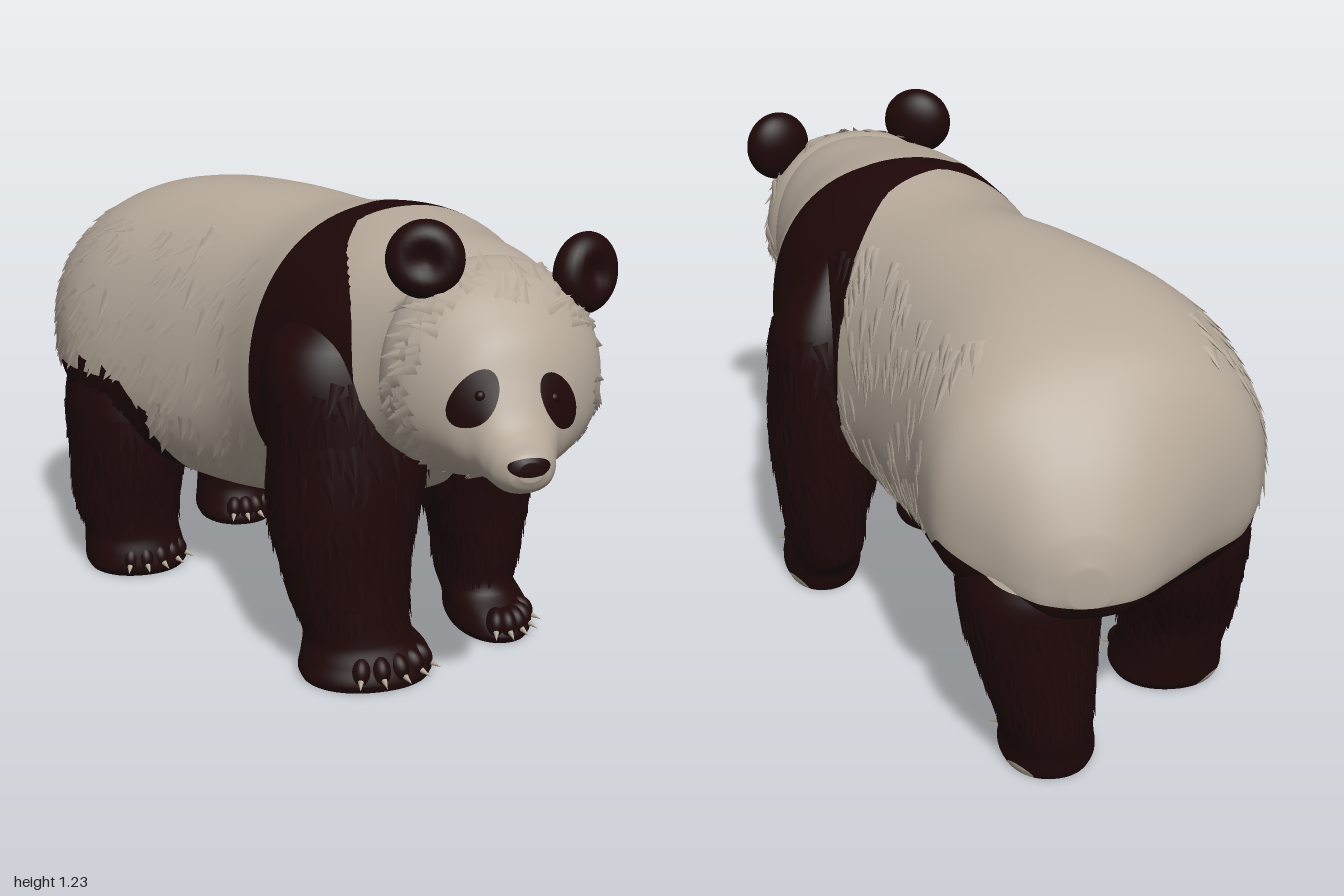
import * as THREE from 'three';
import { mergeGeometries } from 'three/addons/utils/BufferGeometryUtils.js';

const V = (x, y, z) => new THREE.Vector3(x, y, z);
const material = (name, color) => Object.assign(new THREE.MeshStandardMaterial({ color }), { name });

// seeded random numbers
let seed = 7;
const rand = () => (seed = (seed * 16807) % 2147483647) / 2147483647;

// piecewise linear lookup
function lin(x, pts) {
  if (x <= pts[0][0]) return pts[0][1];
  for (let i = 1; i < pts.length; i++) {
    const [a, u] = pts[i - 1], [b, v] = pts[i];
    if (x <= b) return u + (v - u) * (x - a) / (b - a);
  }
  return pts[pts.length - 1][1];
}

// smooth (Hermite) interpolation of whole section rows; column 0 is the axis position
function refine(rows, steps) {
  const slope = (i, k) => {
    const a = rows[Math.max(i - 1, 0)], b = rows[Math.min(i + 1, rows.length - 1)];
    return (b[k] - a[k]) / (b[0] - a[0]);
  };
  const out = [];
  for (let i = 0; i < rows.length - 1; i++) {
    const h = rows[i + 1][0] - rows[i][0];
    for (let s = 0; s < steps; s++) {
      const t = s / steps, t2 = t * t, t3 = t2 * t;
      out.push(rows[i].map((p, k) => (2 * t3 - 3 * t2 + 1) * p + (t3 - 2 * t2 + t) * h * slope(i, k)
        + (3 * t2 - 2 * t3) * rows[i + 1][k] + (t3 - t2) * h * slope(i + 1, k)));
    }
  }
  return [...out, rows[rows.length - 1]];
}

// closed skin through rings; rows are [axis, min1, max1, min2, max2], place() maps to a point,
// power() sets how boxy each quarter of a ring is
function loft(rows, place, n, mid, power = () => 0.93) {
  const pos = [], idx = [], rings = refine(rows, 8);
  for (const [t, a0, a1, b0, b1] of rings) {
    const bm = b0 + (b1 - b0) * mid;
    for (let j = 0; j < n; j++) {
      const c = Math.cos(j / n * Math.PI * 2), s = Math.sin(j / n * Math.PI * 2);
      const round = v => Math.sign(v) * Math.abs(v) ** power(t, c, s);
      pos.push(...place(t, (a0 + a1) / 2 + (a1 - a0) / 2 * round(c), bm + (s > 0 ? b1 - bm : bm - b0) * round(s)));
    }
  }
  const last = rings.length - 1, tip = rings.length * n;
  for (const r of [rings[0], rings[last]]) pos.push(...place(r[0], (r[1] + r[2]) / 2, r[3] + (r[4] - r[3]) * mid));
  for (let j = 0; j < n; j++) {
    const k = (j + 1) % n;
    for (let i = 0; i < last; i++) {
      const a = i * n + j, b = i * n + k;
      idx.push(a, b, a + n, b, b + n, a + n);
    }
    idx.push(tip, k, j, tip + 1, last * n + j, last * n + k);
  }
  const g = new THREE.BufferGeometry();
  g.setAttribute('position', new THREE.Float32BufferAttribute(pos, 3));
  g.setIndex(idx);
  g.computeVertexNormals();
  return g;
}

// cuts a skin along field = 0 into a cream and a dark mesh
function paint(geo, field, name, mats) {
  const group = new THREE.Group(), P = geo.attributes.position, N = geo.attributes.normal, ix = geo.index.array;
  group.name = name;
  const verts = Array.from({ length: P.count }, (_, i) => {
    const p = V().fromBufferAttribute(P, i);
    return { p, n: V().fromBufferAttribute(N, i), f: field(p.x, p.y, p.z) };
  });
  [-1, 1].forEach((side, m) => {
    const pos = [], nor = [];
    for (let i = 0; i < ix.length; i += 3) {
      const poly = [];
      for (let k = 0; k < 3; k++) {
        const a = verts[ix[i + k]], b = verts[ix[i + (k + 1) % 3]];
        if ((a.f > 0) === (side > 0)) poly.push(a);
        if ((a.f > 0) !== (b.f > 0)) {
          const t = a.f / (a.f - b.f);
          poly.push({ p: a.p.clone().lerp(b.p, t), n: a.n.clone().lerp(b.n, t).normalize() });
        }
      }
      for (let k = 1; k + 1 < poly.length; k++)
        for (const v of [poly[0], poly[k], poly[k + 1]]) { pos.push(...v.p.toArray()); nor.push(...v.n.toArray()); }
    }
    if (!pos.length) return;
    const g = new THREE.BufferGeometry();
    g.setAttribute('position', new THREE.Float32BufferAttribute(pos, 3));
    g.setAttribute('normal', new THREE.Float32BufferAttribute(nor, 3));
    const mesh = new THREE.Mesh(g, mats[m]);
    mesh.name = name + (m ? 'Dark' : 'Cream');
    group.add(mesh);
  });
  return group;
}

// fur tufts: small flat cones lying along the flow direction on a skin
function fur(geo, field, count, flow, where, name, mats) {
  const sets = [[], []], P = geo.attributes.position, N = geo.attributes.normal, group = new THREE.Group();
  group.name = name;
  for (let tries = 0, made = 0; made < count && tries < 40000; tries++) {
    const i = Math.floor(rand() * P.count), p = V().fromBufferAttribute(P, i), n = V().fromBufferAttribute(N, i);
    if (!where(p, n)) continue;
    made++;
    const dir = flow.clone().add(V(rand() - 0.5, 0, rand() - 0.5).multiplyScalar(0.5));
    dir.addScaledVector(n, -dir.dot(n)).normalize().addScaledVector(n, 0.16).normalize();
    const side = V().crossVectors(dir, n).normalize(), up = V().crossVectors(side, dir);
    const g = new THREE.ConeGeometry(1, 1, 6, 1, true);
    g.scale(0.02 + rand() * 0.008, 0.07 + rand() * 0.03, 0.008);
    g.applyMatrix4(new THREE.Matrix4().makeBasis(side, dir, up).setPosition(p));
    sets[field(p.x, p.y, p.z) > 0 ? 1 : 0].push(g);
  }
  sets.forEach((s, m) => {
    if (!s.length) return;
    const mesh = new THREE.Mesh(mergeGeometries(s), mats[m]);
    mesh.name = name + (m ? 'Dark' : 'Cream');
    group.add(mesh);
  });
  return group;
}

// colour borders: positive is dark
function thigh(x, y, z, cx, cz) {
  const d = Math.hypot((x - cx) / 0.19, (z - cz) / 0.23);
  return 0.6 - y - 0.4 * Math.max(0, cz - z - 0.02) - 1.2 * Math.max(0, d - 1.05);
}
function coat(x, y, z) {
  const back = lin(x, [[0.1, 0.17], [0.25, 0.08], [0.4, -0.1], [0.6, -0.1]]);
  const front = lin(x, [[-0.03, 0.62], [0, 0.36], [0.06, 0.26], [0.3, 0.23], [0.55, 0.26]])
    + 0.6 * Math.max(0, 0.85 - y) + Math.max(0, 0.66 - y);
  const chest = (Math.hypot((x - 0.24) / 0.07, (y - 0.44) / 0.13) - 1) * 0.07;
  const rump = Math.min(0.52 - y, -0.68 - z, Math.hypot(x + 0.22, z + 0.8) - 0.08);
  return Math.max(Math.min(z - back, front - z, chest), rump, thigh(x, y, z, -0.42, -0.5), thigh(x, y, z, 0.02, -0.77));
}
function face(x, y, z) {
  const spot = (cx, cy, a, ru, rv) => {
    const u = (x - cx) * Math.cos(a) + (y - cy) * Math.sin(a), v = (y - cy) * Math.cos(a) - (x - cx) * Math.sin(a);
    return 1 - Math.hypot(u / ru, v / rv);
  };
  if (z < 0.75) return -1;
  return Math.max(spot(0.172, 0.86, 0.95, 0.076, 0.042), spot(0.377, 0.84, 2.1, 0.076, 0.042), spot(0.262, 0.738, 0, 0.05, 0.022));
}

export function createModel() {
  const root = new THREE.Group();
  const cream = material('creamFur', 0xb5a89a), dark = material('darkFur', 0x1e0708), bone = material('claw', 0xb0a496);
  const mats = [cream, dark];
  const add = (name, geo, mat, p, s = [1, 1, 1], r = [0, 0, 0]) => {
    const m = new THREE.Mesh(geo, mat);
    m.name = name;
    m.position.set(...p); m.scale.set(...s); m.rotation.set(...r);
    root.add(m);
  };
  const ball = new THREE.SphereGeometry(1, 28, 20);
  const alongZ = (z, x, y) => [x, y, z];

  // trunk and neck: z, left and right edge, bottom, top; the haunches are boxier
  const haunch = (z, c, s) => 0.93 - (c > 0 || s < 0 ? 0.15 * THREE.MathUtils.smoothstep(-z, 0.3, 0.65) : 0);
  const trunk = loft([
    [-0.995, -0.15, -0.06, 0.52, 0.62], [-0.97, -0.23, 0.02, 0.48, 0.70], [-0.9, -0.33, 0.11, 0.45, 0.83],
    [-0.8, -0.45, 0.21, 0.42, 0.95], [-0.7, -0.565, 0.24, 0.39, 1.03], [-0.55, -0.595, 0.26, 0.35, 1.095],
    [-0.4, -0.56, 0.30, 0.30, 1.13], [-0.2, -0.41, 0.36, 0.285, 1.145], [0, -0.26, 0.45, 0.32, 1.14],
    [0.2, -0.19, 0.55, 0.39, 1.17], [0.4, -0.10, 0.53, 0.53, 1.155], [0.55, 0.03, 0.53, 0.60, 1.13],
    [0.65, 0.07, 0.50, 0.64, 1.08]], alongZ, 88, 0.43, haunch);
  root.add(paint(trunk, coat, 'body', mats));
  root.add(fur(trunk, coat, 380, V(0, -0.8, -0.6), (p, n) =>
    Math.abs(n.x) > 0.45 && p.z > -0.68 && p.z < 0.1 && p.y > 0.36 && p.y < 1.02, 'flankFur', mats));
  add('tail', ball, cream, [-0.29, 0.67, -0.875], [0.08, 0.06, 0.035], [0, 0.53, 0]);

  // head
  const head = loft([
    [0.5, 0.10, 0.46, 0.68, 1.06], [0.58, 0.03, 0.54, 0.61, 1.12], [0.66, 0.02, 0.55, 0.60, 1.11],
    [0.72, 0.04, 0.53, 0.62, 1.08], [0.78, 0.08, 0.485, 0.64, 1.03], [0.83, 0.12, 0.43, 0.65, 0.975],
    [0.87, 0.16, 0.38, 0.655, 0.895], [0.91, 0.18, 0.355, 0.655, 0.82], [0.95, 0.192, 0.338, 0.66, 0.785],
    [0.985, 0.212, 0.315, 0.68, 0.768], [1.0, 0.235, 0.29, 0.705, 0.75]], alongZ, 80, 0.45);
  root.add(paint(head, face, 'head', mats));
  root.add(fur(head, () => -1, 130, V(0, -0.5, -0.9), p => p.z > 0.58 && p.z < 0.74, 'cheekFur', mats));

  // eyes sit on the head surface
  for (const [x, y] of [[0.186, 0.868], [0.362, 0.85]]) {
    let z = 0, best = 1;
    const P = head.attributes.position;
    for (let i = 0; i < P.count; i++) {
      const d = Math.hypot(P.getX(i) - x, P.getY(i) - y);
      if (P.getZ(i) > 0.75 && d < best) { best = d; z = P.getZ(i); }
    }
    add('eye', ball, dark, [x, y, z - 0.007], [0.013, 0.013, 0.012]);
  }

  // ears, hollowed at the front
  const earGeo = new THREE.SphereGeometry(1, 32, 24), E = earGeo.attributes.position;
  for (let i = 0; i < E.count; i++) {
    const r = Math.hypot(E.getX(i), E.getY(i));
    if (E.getZ(i) > 0) E.setZ(i, E.getZ(i) - 0.6 * Math.exp(-5 * r * r));
  }
  earGeo.computeVertexNormals();
  add('rightEar', earGeo, dark, [0.117, 1.137, 0.645], [0.093, 0.093, 0.06], [-0.1, -0.3, 0.2]);
  add('leftEar', earGeo, dark, [0.512, 1.08, 0.645], [0.09, 0.098, 0.06], [-0.1, 0.4, -0.2]);

  // legs: y, centre x, centre z, half width, half depth
  const legs = {
    leftFrontLeg: [[0, 0.45, 0.185, 0.1, 0.17], [0.02, 0.45, 0.185, 0.108, 0.178], [0.06, 0.448, 0.165, 0.105, 0.172],
      [0.11, 0.435, 0.11, 0.1, 0.155], [0.2, 0.44, 0.1, 0.112, 0.168], [0.4, 0.43, 0.1, 0.148, 0.188],
      [0.6, 0.435, 0.12, 0.14, 0.21], [0.8, 0.43, 0.1, 0.12, 0.165], [0.98, 0.39, 0.1, 0.03, 0.05]],
    rightFrontLeg: [[0, 0.045, 0.42, 0.165, 0.135], [0.02, 0.045, 0.42, 0.173, 0.14], [0.06, 0.045, 0.41, 0.163, 0.135],
      [0.11, 0.03, 0.395, 0.14, 0.13], [0.25, 0.005, 0.375, 0.16, 0.145], [0.4, 0, 0.36, 0.187, 0.165],
      [0.6, 0.015, 0.345, 0.203, 0.175], [0.85, -0.02, 0.33, 0.16, 0.15], [1.0, 0.04, 0.3, 0.04, 0.05]],
    leftRearLeg: [[0, -0.045, -0.775, 0.11, 0.14], [0.02, -0.045, -0.775, 0.118, 0.148], [0.06, -0.045, -0.785, 0.113, 0.145],
      [0.11, -0.04, -0.8, 0.112, 0.145], [0.2, -0.025, -0.8, 0.128, 0.155], [0.4, 0, -0.775, 0.165, 0.19],
      [0.52, 0, -0.77, 0.168, 0.19], [0.72, -0.02, -0.72, 0.11, 0.14]],
    rightRearLeg: [[0, -0.405, -0.45, 0.135, 0.13], [0.02, -0.405, -0.45, 0.145, 0.142], [0.06, -0.41, -0.455, 0.14, 0.142],
      [0.11, -0.415, -0.465, 0.135, 0.14], [0.2, -0.425, -0.47, 0.148, 0.152], [0.35, -0.415, -0.495, 0.165, 0.205],
      [0.5, -0.415, -0.515, 0.168, 0.225], [0.72, -0.4, -0.51, 0.13, 0.17]],
  };
  const clawGeo = new THREE.ConeGeometry(0.012, 0.045, 8).rotateX(Math.PI / 2 + 0.4);
  for (const [name, rows] of Object.entries(legs)) {
    const [, cx, cz, rx, rz] = rows[1];
    const top = name.includes('Front') ? 0.82 : 0.5, out = name.startsWith('left') ? 1 : -1;
    // dark below the coat border, with a pale pad edge at the outer heel
    const field = (x, y, z) => Math.min(Math.max(coat(x, y, z), top - y),
      Math.hypot((x - cx - out * rx * 0.7) / 0.04, y / 0.028, (z - cz + rz * 0.7) / 0.05) - 1);
    const skin = loft(rows.map(([y, x, z, a, b]) => [y, z - b, z + b, x - a, x + a]), (y, z, x) => [x, y, z], 48, 0.5);
    root.add(paint(skin, field, name, mats));
    root.add(fur(skin, field, 380, V(0, -1, -0.15), p => p.y > 0.15 && p.y < top - 0.06, name + 'Fur', mats));
    // toes and claws fan round the front of the foot, which points along the body
    for (let i = -2; i <= 2; i++) {
      const a = i * 0.34 + 0.4, x = cx + Math.sin(a) * rx, z = cz + Math.cos(a) * rz;
      add('toe', ball, dark, [x - Math.sin(a) * 0.035, 0.045, z - Math.cos(a) * 0.035], [0.028, 0.042, 0.042], [0, a, 0]);
      add('claw', clawGeo, bone, [x + Math.sin(a) * 0.01, 0.032, z + Math.cos(a) * 0.01], [1, 1, 1], [0, a, 0]);
    }
  }
  return root;
}
